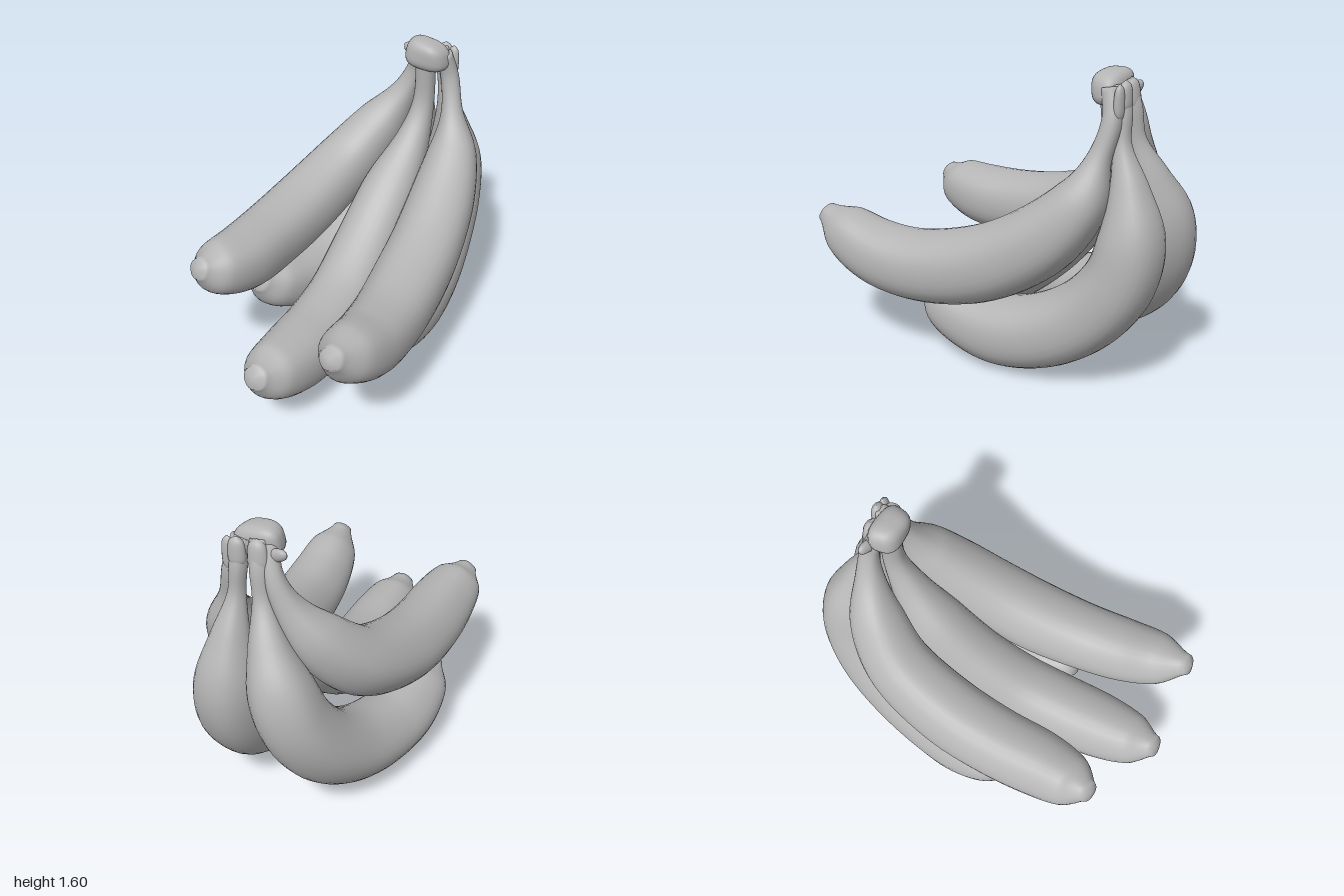
import * as THREE from 'three';

const skin = new THREE.MeshStandardMaterial({ color: 0xb4b4b4 });
skin.name = 'plainGrey';

// Each fruit: rows of [x, y, z, radius] from the stem to the blossom tip
const fruits = {
  frontRightBanana: [
    [0.02, 1.52, -0.66, 0.045], [-0.015, 1.38, -0.7, 0.05], [-0.08, 1.22, -0.685, 0.078],
    [-0.19, 1.03, -0.61, 0.142], [-0.31, 0.83, -0.43, 0.175], [-0.385, 0.69, -0.1, 0.19],
    [-0.41, 0.645, 0.2, 0.187], [-0.415, 0.65, 0.47, 0.177], [-0.435, 0.695, 0.66, 0.14],
    [-0.455, 0.745, 0.765, 0.055]],
  frontMiddleBanana: [
    [0.085, 1.5, -0.62, 0.055], [0.075, 1.22, -0.63, 0.06], [0.055, 1.02, -0.56, 0.095],
    [0.015, 0.77, -0.39, 0.16], [0.0, 0.52, -0.13, 0.18], [0.01, 0.35, 0.14, 0.19],
    [0.02, 0.29, 0.4, 0.195], [0.025, 0.3, 0.65, 0.185], [0.025, 0.35, 0.86, 0.143],
    [0.025, 0.405, 0.98, 0.06]],
  frontLeftBanana: [
    [0.17, 1.52, -0.66, 0.045], [0.2, 1.38, -0.69, 0.05], [0.245, 1.19, -0.65, 0.062],
    [0.29, 0.99, -0.585, 0.135], [0.322, 0.8, -0.43, 0.178], [0.352, 0.64, -0.2, 0.195],
    [0.375, 0.54, 0.05, 0.2], [0.405, 0.495, 0.35, 0.19], [0.425, 0.525, 0.6, 0.177],
    [0.435, 0.61, 0.8, 0.143], [0.44, 0.69, 0.945, 0.056]],
  backRightBanana: [
    [0.06, 1.54, -0.67, 0.05], [0.045, 1.42, -0.715, 0.048], [0.025, 1.25, -0.735, 0.05],
    [-0.03, 1.05, -0.79, 0.103], [-0.1, 0.85, -0.825, 0.163], [-0.16, 0.65, -0.795, 0.183],
    [-0.23, 0.45, -0.67, 0.193], [-0.295, 0.3, -0.46, 0.198], [-0.36, 0.236, -0.21, 0.193],
    [-0.405, 0.25, 0.0, 0.183], [-0.43, 0.315, 0.19, 0.145], [-0.44, 0.385, 0.3, 0.06]],
  backLeftBanana: [
    [0.14, 1.53, -0.68, 0.045], [0.15, 1.42, -0.72, 0.044], [0.165, 1.25, -0.73, 0.046],
    [0.18, 1.05, -0.78, 0.098], [0.195, 0.82, -0.81, 0.162], [0.21, 0.6, -0.765, 0.18],
    [0.23, 0.4, -0.62, 0.188], [0.255, 0.255, -0.4, 0.193], [0.275, 0.19, -0.15, 0.188],
    [0.278, 0.2, 0.06, 0.17], [0.28, 0.26, 0.24, 0.138], [0.275, 0.33, 0.36, 0.06]],
};

// Sweep a softly five-ridged ring along the fruit's curve
function bananaGeometry(rows) {
  const sides = 30, steps = 60;
  const points = rows.map(([x, y, z]) => new THREE.Vector3(x, y, z));
  const path = new THREE.CatmullRomCurve3(points);
  const width = new THREE.SplineCurve(rows.map((row, i) => new THREE.Vector2(i, row[3])));
  const side = points.at(-1).clone().sub(points[0]).cross(new THREE.Vector3(0, 1, 0)).normalize();
  const positions = [], index = [];
  for (let i = 0; i <= steps; i++) {
    const t = i / steps;
    const centre = path.getPoint(t), tangent = path.getTangent(t), radius = width.getPoint(t).y;
    const u = side.clone().addScaledVector(tangent, -side.dot(tangent)).normalize();
    const v = tangent.clone().cross(u);
    for (let j = 0; j < sides; j++) {
      const a = (j / sides) * Math.PI * 2;
      const r = radius * (1 + 0.018 * Math.cos(5 * a));
      positions.push(...centre.clone().addScaledVector(u, r * Math.cos(a))
        .addScaledVector(v, r * Math.sin(a)).toArray());
      if (i < steps) {
        const k = i * sides + j, n = i * sides + (j + 1) % sides;
        index.push(k, n, k + sides, n, n + sides, k + sides);
      }
    }
  }
  // Close the stem end and the slightly raised blossom end
  const start = positions.length / 3, end = start + 1, last = steps * sides;
  positions.push(...points[0].toArray());
  positions.push(...points.at(-1).clone().addScaledVector(path.getTangent(1), 0.015).toArray());
  for (let j = 0; j < sides; j++) {
    const n = (j + 1) % sides;
    index.push(start, n, j, end, last + j, last + n);
  }
  const geometry = new THREE.BufferGeometry();
  geometry.setAttribute('position', new THREE.Float32BufferAttribute(positions, 3));
  geometry.setIndex(index);
  geometry.computeVertexNormals();
  return geometry;
}

// Rounded, uneven lump where the stems join, higher on one side
function crownGeometry() {
  const geometry = new THREE.SphereGeometry(1, 32, 20);
  const p = geometry.attributes.position;
  const square = (n) => Math.sign(n) * Math.abs(n) ** 0.7;
  for (let i = 0; i < p.count; i++) {
    const x = square(p.getX(i)), y = square(p.getY(i)), z = square(p.getZ(i));
    const taper = 1 - 0.1 * y - 0.12 * z;
    p.setXYZ(i, 0.12 * x * taper, 0.082 * y - 0.014 * x, 0.08 * z + 0.012 * y * x);
  }
  geometry.computeVertexNormals();
  return geometry;
}

// Flattened teardrop of torn stem from one point to another
const teardrop = new THREE.LatheGeometry(new THREE.SplineCurve(
  [[0, -0.5], [0.9, -0.32], [1, 0], [0.75, 0.35], [0, 0.5]].map(([x, y]) => new THREE.Vector2(x, y)),
).getPoints(16), 16);

function scrap(from, to, radius) {
  const a = new THREE.Vector3(...from), b = new THREE.Vector3(...to);
  const direction = b.clone().sub(a);
  const mesh = new THREE.Mesh(teardrop, skin);
  mesh.scale.set(radius, direction.length(), radius * 0.7);
  mesh.position.copy(a).add(b).multiplyScalar(0.5);
  mesh.quaternion.setFromUnitVectors(new THREE.Vector3(0, 1, 0), direction.normalize());
  mesh.name = 'stemScrap';
  return mesh;
}

export function createModel() {
  const model = new THREE.Group();
  model.name = 'bananaBunch';
  for (const [name, rows] of Object.entries(fruits)) {
    const banana = new THREE.Mesh(bananaGeometry(rows), skin);
    banana.name = name;
    model.add(banana);
  }
  const crown = new THREE.Mesh(crownGeometry(), skin);
  crown.name = 'crown';
  crown.position.set(0.088, 1.513, -0.624);
  model.add(crown);
  model.add(
    scrap([0.05, 1.45, -0.67], [-0.09, 1.51, -0.7], 0.035),
    scrap([0.195, 1.36, -0.72], [0.2, 1.55, -0.725], 0.035),
    scrap([0.15, 1.4, -0.73], [0.15, 1.56, -0.73], 0.045),
    scrap([0.045, 1.39, -0.72], [0.055, 1.56, -0.71], 0.052),
  );
  return model;
}
